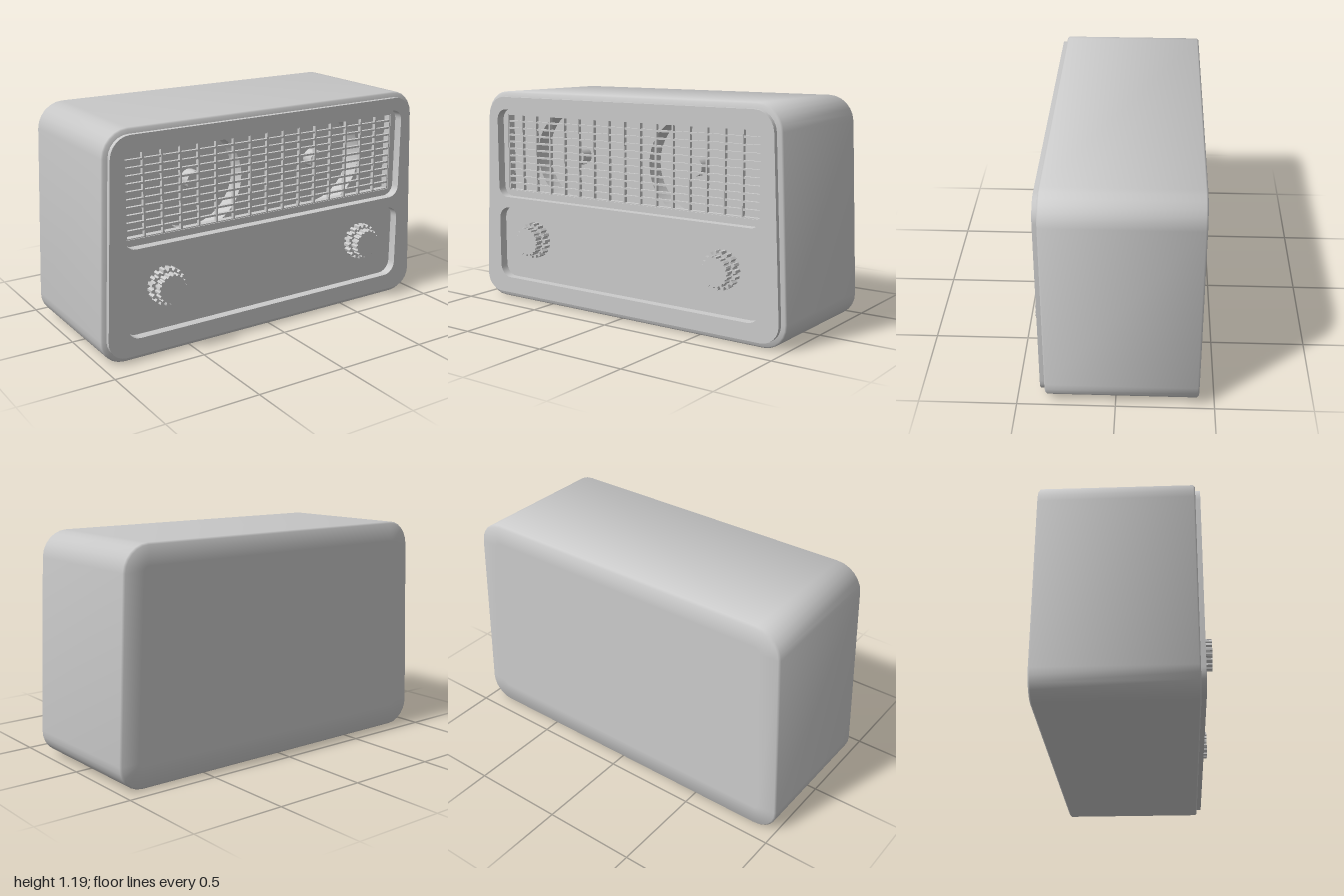
import * as THREE from 'three';
import { toCreasedNormals } from 'three/addons/utils/BufferGeometryUtils.js';

const material = new THREE.MeshStandardMaterial({ color: 0xcccccc });

// Rounded trapezoid, counter-clockwise, symmetric in x
function panelShape(wBottom, wTop, y0, y1, r, Type = THREE.Shape) {
  const corners = [[-wBottom, y0], [wBottom, y0], [wTop, y1], [-wTop, y1]].map(p => new THREE.Vector2(...p));
  const shape = new Type();
  const toward = (p, q, d) => p.clone().add(q.clone().sub(p).setLength(d));
  const start = toward(corners[0], corners[1], r);
  shape.moveTo(start.x, start.y);
  for (let i = 1; i <= 4; i++) {
    const c = corners[i % 4], prev = corners[i - 1], next = corners[(i + 1) % 4];
    const a = toward(c, prev, r), b = toward(c, next, r);
    const ha = toward(c, prev, r * 0.45), hb = toward(c, next, r * 0.45);
    shape.lineTo(a.x, a.y);
    shape.bezierCurveTo(ha.x, ha.y, hb.x, hb.y, b.x, b.y);
  }
  return shape;
}

// Outline of the cabinet moved inward by d
const cabinetOutline = d => panelShape(1.005 - d, 0.952 - d, d, 1.19 - d, 0.135 - d);

function slab(shape, z0, z1, curveSegments = 6) {
  const geo = new THREE.ExtrudeGeometry(shape, { depth: z1 - z0, bevelEnabled: false, curveSegments });
  geo.translate(0, 0, z0);
  return toCreasedNormals(geo, 0.6);
}

// Skin through cabinet outlines given as [inset, z]
function loft(rings) {
  const loops = rings.map(([d, z]) => cabinetOutline(d).getPoints(6).map(p => [p.x, p.y, z]));
  const n = loops[0].length, index = [];
  for (let i = 0; i < loops.length - 1; i++) {
    for (let j = 0; j < n - 1; j++) {
      const a = i * n + j, d = a + n;
      index.push(a, a + 1, d, a + 1, d + 1, d);
    }
  }
  const geo = new THREE.BufferGeometry();
  geo.setAttribute('position', new THREE.Float32BufferAttribute(loops.flat(2), 3));
  geo.setIndex(index);
  return toCreasedNormals(geo, 1.0);
}

function gearShape(outer, inner, teeth) {
  const pts = [];
  for (let i = 0; i < teeth; i++) {
    [[0, outer], [0.4, outer], [0.55, inner], [0.85, inner]].forEach(([t, r]) => {
      const a = (i + t) / teeth * Math.PI * 2;
      pts.push(new THREE.Vector2(Math.cos(a) * r, Math.sin(a) * r));
    });
  }
  return new THREE.Shape(pts);
}

export function createModel() {
  const model = new THREE.Group();
  const add = (name, geo, parent = model) => {
    const mesh = new THREE.Mesh(geo, material);
    mesh.name = name;
    parent.add(mesh);
    return mesh;
  };

  // Cabinet with slightly bevelled ends
  add('cabinet', loft([[0.11, -0.42], [0.01, -0.42], [0, -0.41], [0, 0.347], [0.008, 0.355], [0.06, 0.355]]));
  const back = new THREE.ShapeGeometry(cabinetOutline(0.11), 6);
  back.rotateY(Math.PI).translate(0, 0, -0.42);
  add('backPanel', back);

  // Front plate with two rounded openings
  const plate = cabinetOutline(0.03);
  plate.holes.push(
    panelShape(0.865, 0.865, 0.59, 1.09, 0.06, THREE.Path),
    panelShape(0.865, 0.865, 0.12, 0.53, 0.07, THREE.Path));
  add('frontPlate', slab(plate, 0.33, 0.38));

  // Recessed panel with the grille window
  const gx = 0.83, gy0 = 0.625, gy1 = 1.06;
  const recess = panelShape(0.9, 0.9, 0.09, 1.12, 0.06);
  recess.holes.push(new THREE.Path([[-gx, gy0], [gx, gy0], [gx, gy1], [-gx, gy1]].map(p => new THREE.Vector2(...p))));
  add('recessedPanel', slab(recess, 0.28, 0.332));

  // Grille bars
  const grille = new THREE.Group();
  grille.name = 'grille';
  model.add(grille);
  const columns = 16, rows = 11, bar = 0.01;
  for (let i = 0; i <= columns; i++) {
    add('verticalBar', new THREE.BoxGeometry(bar, gy1 - gy0, 0.02), grille)
      .position.set(-gx + 2 * gx * i / columns, (gy0 + gy1) / 2, 0.318);
  }
  for (let i = 0; i <= rows; i++) {
    add('horizontalBar', new THREE.BoxGeometry(2 * gx, bar, 0.018), grille)
      .position.set(0, gy0 + (gy1 - gy0) * i / rows, 0.318);
  }

  // Speaker board with round wells, their floor and dust caps
  const board = panelShape(0.9, 0.9, 0.55, 1.13, 0.03);
  for (const side of [-1, 1]) {
    const well = new THREE.Path();
    well.absarc(side * 0.39, 0.84, 0.257, 0, Math.PI * 2);
    board.holes.push(well);
  }
  add('speakerBoard', slab(board, 0.18, 0.28, 20));
  add('speakerFloor', slab(panelShape(0.9, 0.9, 0.55, 1.13, 0.03), 0.16, 0.18));

  for (const side of [-1, 1]) {
    const name = side > 0 ? 'left' : 'right';
    const cap = new THREE.CylinderGeometry(0.05, 0.05, 0.07, 24).rotateX(Math.PI / 2);
    add(name + 'SpeakerCap', cap).position.set(side * 0.39, 0.84, 0.215);

    // Two-step toothed knob
    const knob = new THREE.Group();
    knob.name = name + 'Knob';
    knob.position.set(side * 0.625, 0.355, 0);
    add('knobBase', slab(gearShape(0.1, 0.085, 18), 0.33, 0.375), knob);
    add('knobTop', slab(gearShape(0.08, 0.072, 18), 0.375, 0.42), knob);
    model.add(knob);
  }
  return model;
}
